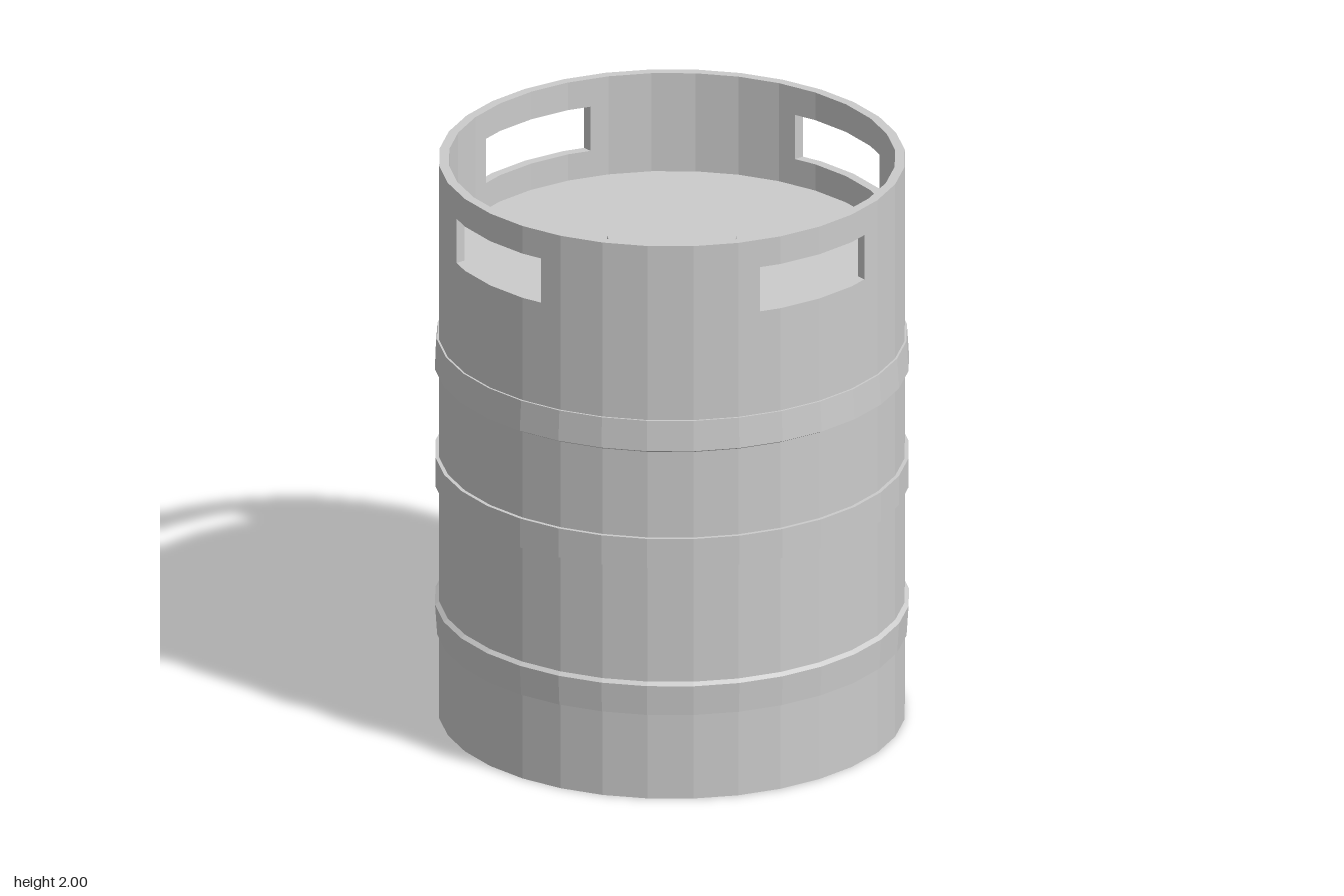
import * as THREE from 'three';

const SIDES = 32, R_OUT = 0.783, R_IN = 0.75;
const WIN_HALF = 0.225, WIN_LOW = 1.74, WIN_HIGH = 1.9, TOP = 2, DECK = 1.645;

const material = new THREE.MeshStandardMaterial({ color: 0xcccccc, flatShading: true });

function add(group, name, geometry) {
  const mesh = new THREE.Mesh(geometry, material);
  mesh.name = name;
  group.add(mesh);
  return mesh;
}

// Faceted turned part from [radius, height] pairs, listed bottom to top
const turned = (profile) =>
  new THREE.LatheGeometry(profile.map(([r, y]) => new THREE.Vector2(r, y)), SIDES);

// Corner k of the 32-sided outline
function corner(r, k) {
  const a = (k / SIDES) * Math.PI * 2;
  return new THREE.Vector2(Math.sin(a) * r, Math.cos(a) * r);
}

// Outline of one wall quarter between two windows, on the faceted circle
function quarterArc(r) {
  const a = corner(r, 1), b = corner(r, 2);
  const edge = a.clone().lerp(b, (WIN_HALF - a.x) / (b.x - a.x));
  const points = [edge];
  for (let k = 2; k <= 6; k++) points.push(corner(r, k));
  points.push(new THREE.Vector2(edge.y, edge.x));
  return points;
}

export function createModel() {
  const keg = new THREE.Group();
  keg.name = 'keg';

  // Closed body with the recessed top deck
  add(keg, 'body', turned([
    [0, 0], [R_OUT, 0], [R_OUT, WIN_LOW], [R_IN, WIN_LOW], [R_IN, DECK], [0, DECK],
  ]));

  // Wall sections between the four hand holes
  const section = new THREE.Shape([...quarterArc(R_OUT), ...quarterArc(R_IN).reverse()]);
  for (let i = 0; i < 4; i++) {
    const geometry = new THREE.ExtrudeGeometry(section, { depth: WIN_HIGH - WIN_LOW, bevelEnabled: false });
    geometry.rotateX(-Math.PI / 2).rotateY((i * Math.PI) / 2).translate(0, WIN_LOW, 0);
    add(keg, 'handleWall', geometry);
  }

  // Rim above the hand holes
  add(keg, 'rim', turned([
    [R_IN, WIN_HIGH], [R_OUT, WIN_HIGH], [R_OUT, TOP], [R_IN, TOP], [R_IN, WIN_HIGH],
  ]));

  // Raised bands; the outer two are slightly tapered away from the middle
  add(keg, 'lowerBand', turned([
    [0.77, 0.305], [0.79, 0.305], [0.797, 0.412], [R_OUT, 0.423], [0.77, 0.423],
  ]));
  add(keg, 'middleBand', turned([
    [0.77, 0.84], [0.796, 0.84], [0.796, 0.945], [0.77, 0.945],
  ]));
  add(keg, 'upperBand', turned([
    [0.77, 1.255], [R_OUT, 1.255], [0.797, 1.263], [0.79, 1.37], [0.77, 1.37],
  ]));

  // Round valve boss in the middle of the deck
  const boss = new THREE.CylinderGeometry(0.218, 0.218, 0.08, 64);
  boss.translate(0, DECK + 0.04, 0);
  add(keg, 'valveBoss', boss);

  return keg;
}
